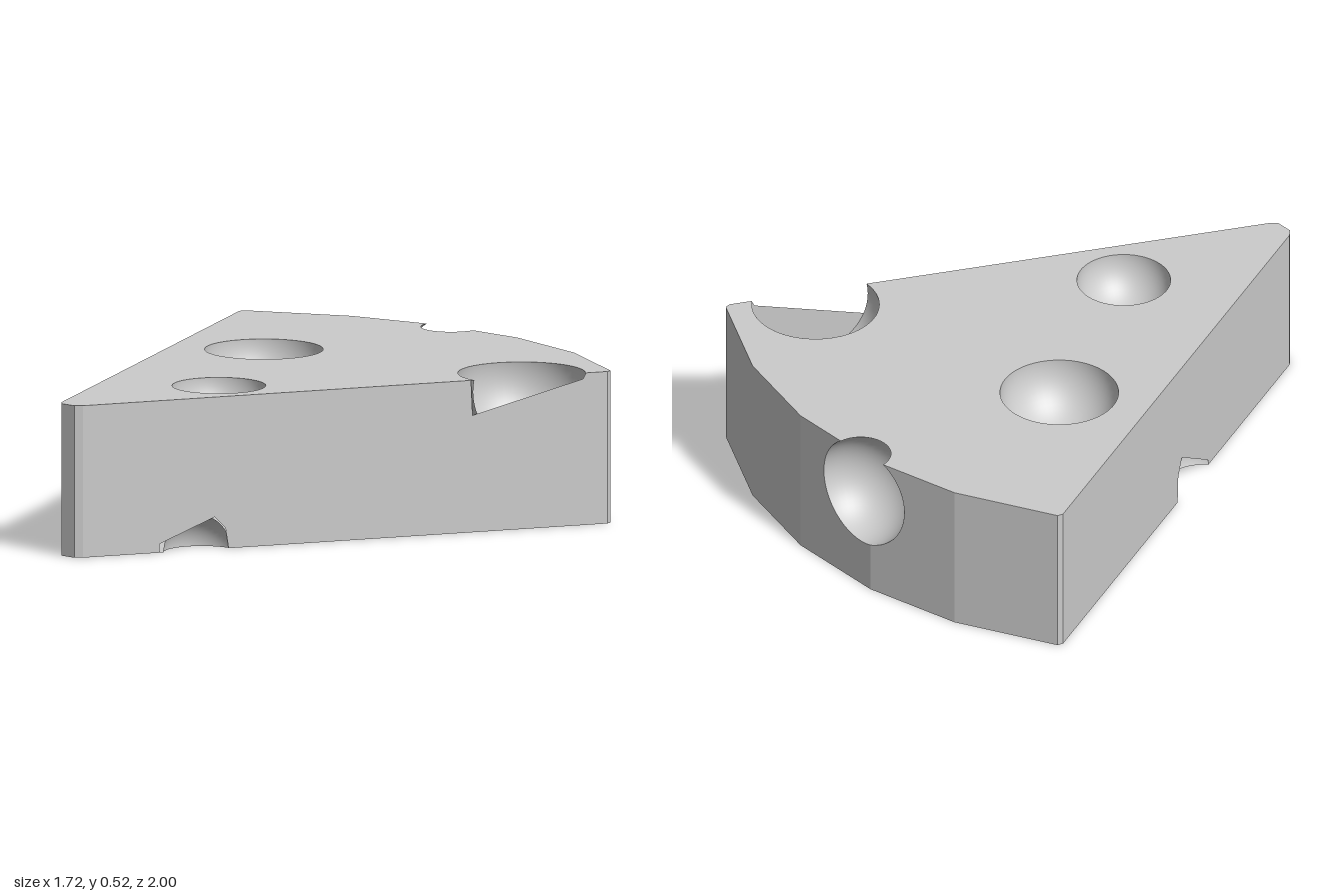
import * as THREE from 'three';

const H = 0.52;
const V2 = (x, y) => new THREE.Vector2(x, y);

// Wedge outline as [x, z], counter-clockwise seen from above
const half = [[0.03, 1], [0.05, 0.98], [0.86, -0.73], [0.855, -0.75], [0.52, -0.92], [0.18, -1]];
const outline = [...half, ...half.map(([x, z]) => [-x, z]).reverse()];

// Spherical holes: centre x, y, z and radius
const holes = [
  { name: 'topHoleLarge', c: [-0.28, H, -0.245], r: 0.2 },
  { name: 'topHoleSmall', c: [0.105, H, 0.375], r: 0.158 },
  { name: 'topEdgeHole', c: [0.67, 0.48, -0.51], r: 0.219 },
  { name: 'rindHole', c: [-0.13, 0.36, -1.0], r: 0.19 },
  { name: 'bottomHoleLarge', c: [-0.297, 0, -0.464], r: 0.23 },
  { name: 'bottomHoleSmall', c: [0.42, 0, -0.494], r: 0.103 },
  { name: 'bottomEdgeHoleLeft', c: [0.27, 0, 0.63], r: 0.13 },
  { name: 'bottomEdgeHoleRight', c: [-0.432, 0.05, 0.267], r: 0.144 },
].map((h) => ({ ...h, c: new THREE.Vector3(...h.c) }));

// Notched outlines of the two long cut faces as [z, y]
const leftFace = [[0.98, 0], [0.73, 0], [0.73, 0.03], [0.55, 0.11], [0.515, 0.07], [0.505, 0], [-0.73, 0],
  [-0.73, H], [-0.66, H], [-0.65, 0.5], [-0.29, 0.4], [-0.285, H], [0.98, H]];
const rightFace = [[-0.73, 0], [0.135, 0], [0.14, 0.1], [0.167, 0.16], [0.365, 0.02], [0.368, 0],
  [0.98, 0], [0.98, H], [-0.73, H]];

// Cut a circle out of a counter-clockwise polygon that it crosses once
function bite(poly, c, r) {
  const list = [];
  let enter = null, leave = -1;
  poly.forEach((p, i) => {
    const d = poly[(i + 1) % poly.length].clone().sub(p), f = p.clone().sub(c);
    if (f.length() >= r) list.push(p);
    const a = d.dot(d), b = f.dot(d), disc = b * b - a * (f.dot(f) - r * r);
    if (disc <= 0) return;
    const t1 = (-b - Math.sqrt(disc)) / a, t2 = (-b + Math.sqrt(disc)) / a;
    if (t1 > 0 && t1 < 1) list.push(enter = p.clone().addScaledVector(d, t1));
    if (t2 > 0 && t2 < 1) leave = list.push(p.clone().addScaledVector(d, t2)) - 1;
  });
  if (!enter || leave < 0) return null;
  const ring = [...list.slice(leave), ...list.slice(0, leave)];
  const a0 = enter.clone().sub(c).angle();
  let sweep = a0 - ring[0].clone().sub(c).angle();
  if (sweep < 0) sweep += Math.PI * 2;
  for (let k = 1; k < 24; k++) {
    const a = a0 - sweep * k / 24;
    ring.push(V2(c.x + r * Math.cos(a), c.y + r * Math.sin(a)));
  }
  return ring;
}

// Flat face placed by a matrix, with every hole that reaches it cut out
function faceGeometry(points, matrix, cut = true) {
  const inverse = matrix.clone().invert();
  const inner = [];
  let poly = points;
  for (const h of cut ? holes : []) {
    const p = h.c.clone().applyMatrix4(inner.length >= 0 ? inverse : matrix);
    const r2 = h.r * h.r - p.z * p.z;
    if (r2 <= 0) continue;
    const c = V2(p.x, p.y), r = Math.sqrt(r2);
    const bitten = bite(poly, c, r);
    if (bitten) { poly = bitten; continue; }
    const inside = points.every((a, i) => {
      const d = points[(i + 1) % points.length].clone().sub(a).normalize();
      return d.cross(c.clone().sub(a)) > r;
    });
    if (inside) inner.push(new THREE.Path().absarc(c.x, c.y, r, 0, Math.PI * 2, true));
  }
  const shape = new THREE.Shape(poly);
  shape.holes = inner;
  return new THREE.ShapeGeometry(shape, 24).applyMatrix4(matrix);
}

// Inner wall of a hole: the part of its sphere that lies within the wedge
function cavityGeometry({ c, r }, planes) {
  const sphere = new THREE.SphereGeometry(r, 48, 32).toNonIndexed().translate(c.x, c.y, c.z);
  const src = sphere.attributes.position, pos = [], nor = [];
  for (let i = 0; i < src.count; i += 3) {
    let poly = [2, 1, 0].map((k) => new THREE.Vector3().fromBufferAttribute(src, i + k));
    for (const plane of planes) {
      const kept = [];
      poly.forEach((p, k) => {
        const q = poly[(k + 1) % poly.length];
        const dp = plane.distanceToPoint(p), dq = plane.distanceToPoint(q);
        if (dp <= 0) kept.push(p);
        if (dp * dq < 0) kept.push(p.clone().lerp(q, dp / (dp - dq)));
      });
      poly = kept;
    }
    for (let k = 1; k + 1 < poly.length; k++) {
      for (const p of [poly[0], poly[k], poly[k + 1]]) {
        pos.push(p.x, p.y, p.z);
        nor.push(...c.clone().sub(p).normalize().toArray());
      }
    }
  }
  const g = new THREE.BufferGeometry();
  g.setAttribute('position', new THREE.Float32BufferAttribute(pos, 3));
  g.setAttribute('normal', new THREE.Float32BufferAttribute(nor, 3));
  return g;
}

export function createModel() {
  const group = new THREE.Group();
  const material = new THREE.MeshStandardMaterial({ color: 0xcccccc, side: THREE.DoubleSide });
  const add = (name, geometry) => {
    const mesh = new THREE.Mesh(geometry, material);
    mesh.name = name;
    group.add(mesh);
  };
  const up = new THREE.Vector3(0, 1, 0);

  // Top and bottom
  const topMatrix = new THREE.Matrix4().makeRotationX(-Math.PI / 2).setPosition(0, H, 0);
  add('topFace', faceGeometry(outline.map(([x, z]) => V2(x, -z)), topMatrix));
  const bottomMatrix = new THREE.Matrix4().makeRotationX(Math.PI / 2);
  add('bottomFace', faceGeometry(outline.map(([x, z]) => V2(x, z)).reverse(), bottomMatrix));

  // Upright faces: two long cuts, curved rind and blunt tip
  const planes = [new THREE.Plane(up.clone(), -H), new THREE.Plane(new THREE.Vector3(0, -1, 0), 0)];
  outline.forEach(([x, z], i) => {
    const [x2, z2] = outline[(i + 1) % outline.length];
    const a = new THREE.Vector3(x, 0, z);
    const dir = new THREE.Vector3(x2 - x, 0, z2 - z);
    const length = dir.length();
    dir.normalize();
    const normal = dir.clone().cross(up);
    planes.push(new THREE.Plane().setFromNormalAndCoplanarPoint(normal, a));
    const matrix = new THREE.Matrix4().makeBasis(dir, up, normal).setPosition(a);
    const notched = length > 1 ? (x > 0 ? leftFace : rightFace) : null;
    if (notched) {
      const points = notched.map(([pz, py]) => V2((pz - z) / dir.z, py));
      add(x > 0 ? 'leftCutFace' : 'rightCutFace', faceGeometry(points, matrix, false));
    } else {
      const points = [V2(0, 0), V2(length, 0), V2(length, H), V2(0, H)];
      add(z + z2 > 0 ? 'tipFace' : 'rindFace', faceGeometry(points, matrix));
    }
  });

  // Hollow walls of the holes
  for (const h of holes) add(h.name, cavityGeometry(h, planes));
  return group;
}
